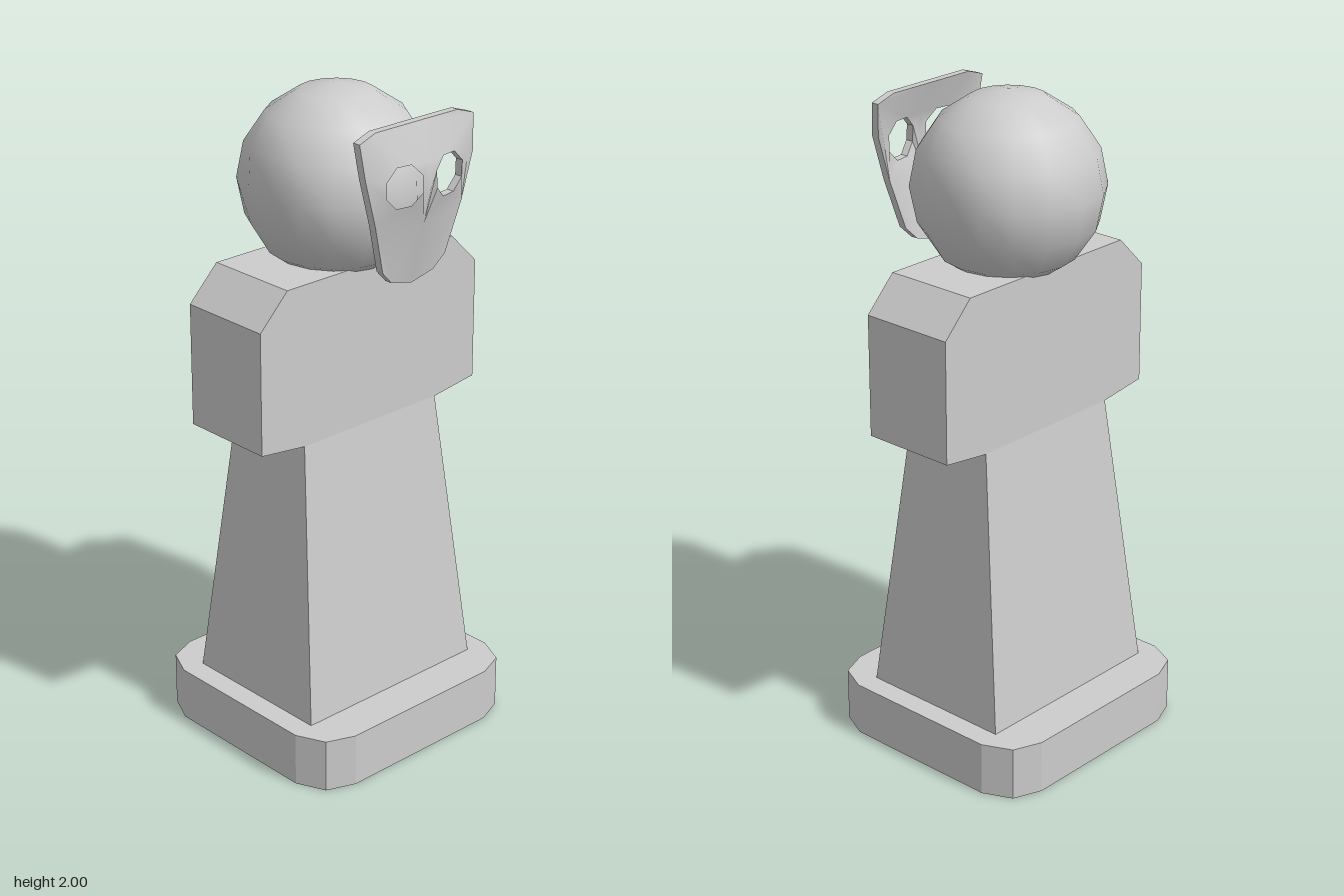
import * as THREE from 'three';
import { mergeGeometries, toCreasedNormals } from 'three/addons/utils/BufferGeometryUtils.js';

const stone = new THREE.MeshStandardMaterial({ color: 0xcccccc });
stone.name = 'pale grey stone';

const shapeOf = (pts) => new THREE.Shape(pts.map(([x, y]) => new THREE.Vector2(x, y)));
const extrude = (shape, depth) =>
  new THREE.ExtrudeGeometry(shape, { depth, bevelEnabled: false, steps: 1 });

function addPart(group, name, geometry) {
  const mesh = new THREE.Mesh(geometry, stone);
  mesh.name = name;
  group.add(mesh);
  return mesh;
}

// Move every vertex by a rule
function warp(geometry, rule) {
  const p = geometry.attributes.position;
  const v = new THREE.Vector3();
  for (let i = 0; i < p.count; i++) {
    rule(v.fromBufferAttribute(p, i));
    p.setXYZ(i, v.x, v.y, v.z);
  }
  return geometry;
}

// Linear interpolation through [y, value] pairs, y rising
function curveAt(table, y) {
  if (y <= table[0][0]) return table[0][1];
  for (let i = 1; i < table.length; i++) {
    const [y0, a] = table[i - 1], [y1, b] = table[i];
    if (y <= y1) return a + (b - a) * (y - y0) / (y1 - y0);
  }
  return table[table.length - 1][1];
}

// Plate with cut corners
function baseGeometry() {
  const quarter = [[0.377, 0.27], [0.343, 0.357], [0.255, 0.397]];
  const flip = (sx, sy, list) => list.map(([x, y]) => [x * sx, y * sy]);
  const back = [...quarter].reverse();
  const outline = [
    ...quarter, ...flip(-1, 1, back), ...flip(-1, -1, quarter), ...flip(1, -1, back),
  ];
  return extrude(shapeOf(outline), 0.165).rotateX(-Math.PI / 2);
}

// Tapered trunk
function trunkGeometry() {
  const g = new THREE.BoxGeometry(2, 0.85, 2).translate(0, 0.59, 0);
  warp(g, (v) => {
    const top = v.y > 0.6;
    v.x *= top ? 0.15 : 0.247;
    v.z *= top ? 0.26 : 0.328;
  });
  const flat = g.toNonIndexed();
  flat.computeVertexNormals();
  return flat;
}

// Shoulder block, its outline drawn across z and extruded along x
function shoulderGeometry() {
  const half = [[0.26, 1.015], [0.42, 1.035], [0.42, 1.405], [0.32, 1.505]];
  const outline = [...half, ...[...half].reverse().map(([z, y]) => [-z, y])];
  return extrude(shapeOf(outline), 0.3).rotateY(Math.PI / 2).translate(-0.15, 0, 0);
}

// Ball with its front and back flattened
function headGeometry() {
  const g = new THREE.SphereGeometry(0.282, 16, 8);
  return warp(g, (v) => { v.z = THREE.MathUtils.clamp(v.z, -0.232, 0.232); });
}

// Bulging mask with two eye holes, made of two mirrored halves
function maskGeometry() {
  const ridge = [[1.49, 0.306], [1.78, 0.377], [1.85, 0.37], [1.96, 0.32]];
  const rim = [[1.49, 0.306], [1.63, 0.33], [1.82, 0.335], [1.96, 0.32]];
  const width = [[1.49, 0.07], [1.55, 0.12], [1.84, 0.21], [1.96, 0.215]];
  const halves = [1, -1].map((s) => {
    const outline = [
      [0, 1.49], [0.08, 1.51], [0.12, 1.55], [0.165, 1.7], [0.205, 1.84], [0.215, 1.94],
      [0.155, 1.96], [0, 1.96], [0, 1.86], [0, 1.78], [0, 1.68],
    ].map(([x, y]) => [x * s, y]);
    const shape = shapeOf(outline);
    const eye = [];
    for (let i = 0; i < 8; i++) {
      const a = (i + 0.5) * Math.PI / 4;
      eye.push(new THREE.Vector2(s * (0.085 + 0.063 * Math.cos(a)), 1.802 + 0.063 * Math.sin(a)));
    }
    shape.holes.push(new THREE.Path(eye));
    return extrude(shape, 0.025);
  });
  const g = mergeGeometries(halves).rotateY(Math.PI / 2);
  warp(g, (v) => {
    const t = Math.min(1, Math.abs(v.z) / curveAt(width, v.y));
    const outer = THREE.MathUtils.lerp(curveAt(ridge, v.y), curveAt(rim, v.y), t * t);
    v.x += outer - 0.025;
  });
  return toCreasedNormals(g, 0.7);
}

export function createModel() {
  const model = new THREE.Group();
  model.name = 'statue';

  const figure = new THREE.Group();
  figure.name = 'figure';
  figure.position.x = -0.002;
  model.add(figure);

  addPart(figure, 'base', baseGeometry());
  addPart(figure, 'trunk', trunkGeometry());
  addPart(figure, 'shoulders', shoulderGeometry());
  addPart(figure, 'head', headGeometry()).position.y = 1.718;
  addPart(model, 'mask', maskGeometry());

  return model;
}
